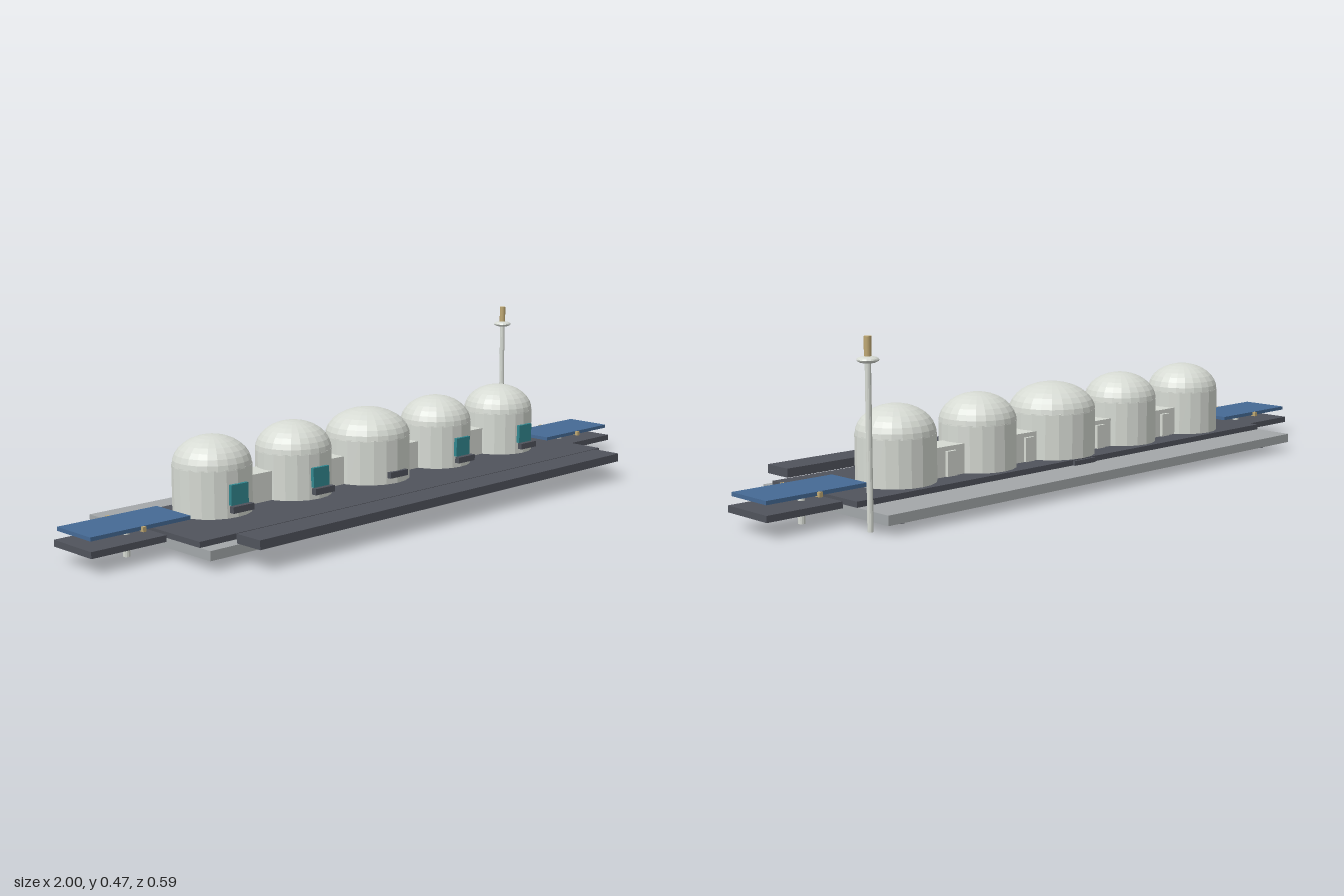
import * as THREE from 'three';

const mat = (name, color, flat = false) => {
  const m = new THREE.MeshStandardMaterial({ color, flatShading: flat });
  m.name = name;
  return m;
};

export function createModel() {
  const root = new THREE.Group();
  root.name = 'domeOutpost';

  const shell = mat('shellWhite', 0xd6dad3, true);
  const slabGrey = mat('slabGrey', 0xa3a7a9);
  const dark = mat('deckDark', 0x50535c);
  const blue = mat('panelBlue', 0x456a95);
  const teal = mat('doorTeal', 0x32878f);
  const tan = mat('brassTan', 0xbfa873);

  const add = (name, geo, material, x, y, z, parent = root) => {
    const mesh = new THREE.Mesh(geo, material);
    mesh.name = name;
    mesh.position.set(x, y, z);
    parent.add(mesh);
    return mesh;
  };
  // Box given by its min and max on each axis
  const box = (name, material, [x0, x1], [y0, y1], [z0, z1], parent) =>
    add(name, new THREE.BoxGeometry(x1 - x0, y1 - y0, z1 - z0), material,
      (x0 + x1) / 2, (y0 + y1) / 2, (z0 + z1) / 2, parent);
  // Upright cylinder from y0 to y1
  const post = (name, material, r, y0, y1, x, z, sides = 12, parent) =>
    add(name, new THREE.CylinderGeometry(r, r, y1 - y0, sides), material, x, (y0 + y1) / 2, z, parent);

  // Foundation, deck and detached front walkway
  box('foundationSlab', slabGrey, [-0.78, 0.78], [0.025, 0.05], [-0.296, 0.205]);
  box('deck', dark, [-0.78, 0.78], [0.05, 0.065], [-0.18, 0.165]);
  box('frontWalkway', dark, [-0.702, 0.702], [0.055, 0.079], [0.209, 0.296]);
  box('rearStep', dark, [-0.04, 0.04], [0.05, 0.063], [-0.188, -0.178]);
  for (const x of [-0.703, 0.703])
    for (const z of [-0.248, 0.143]) post('foot', dark, 0.01, 0.012, 0.026, x, z);

  // Five domed modules with doors and steps
  const cz = -0.06;
  for (const x of [-0.56, -0.28, 0, 0.28, 0.56]) {
    const r = x === 0 ? 0.12 : 0.104;
    const module = new THREE.Group();
    module.name = 'domeModule';
    module.position.x = x;
    root.add(module);
    post('moduleWall', shell, r, 0.064, 0.19, 0, cz, 20, module);
    const cap = add('domeCap',
      new THREE.SphereGeometry(r, 24, 8, 0, Math.PI * 2, 0, Math.PI / 2), shell, 0, 0.187, cz, module);
    cap.scale.y = 0.078 / r;
    box('door', teal, [-0.028, 0.028], [0.1, 0.153], [0.042, 0.052], module);
    box('doorStep', dark, [-0.034, 0.034], [0.083, 0.1], [0.052, 0.067], module);
  }

  // Passages between modules, with a service panel on the back
  for (const x of [-0.42, -0.14, 0.14, 0.42]) {
    box('passage', shell, [x - 0.07, x + 0.07], [0.064, 0.144], [-0.108, -0.034]);
    box('servicePanel', shell, [x - 0.016, x + 0.016], [0.066, 0.132], [-0.117, -0.107]);
  }

  // Solar wings at both ends
  for (const s of [-1, 1]) {
    const wing = new THREE.Group();
    wing.name = s > 0 ? 'leftWing' : 'rightWing';
    root.add(wing);
    const span = (a, b) => (s > 0 ? [a, b] : [-b, -a]);
    box('wingPlatform', dark, span(0.75, 1), [0.04, 0.057], [-0.124, 0.034], wing);
    box('solarPanel', blue, span(0.698, 0.995), [0.08, 0.09], [-0.116, 0.025], wing);
    box('panelCrossbar', tan, span(0.839, 0.849), [0.077, 0.0895], [-0.125, 0.034], wing);
    post('wingLeg', shell, 0.009, 0, 0.08, s * 0.844, -0.045, 12, wing);
  }

  // Antenna mast at the rear corner
  const mast = new THREE.Group();
  mast.name = 'antennaMast';
  root.add(mast);
  const mx = 0.795, mz = -0.248;
  post('mastPole', shell, 0.0075, 0.006, 0.41, mx, mz, 12, mast);
  const dish = add('mastDisc', new THREE.SphereGeometry(0.027, 16, 8), shell, mx, 0.413, mz, mast);
  dish.scale.y = 0.33;
  post('mastTip', tan, 0.009, 0.418, 0.468, mx, mz, 12, mast);

  return root;
}
